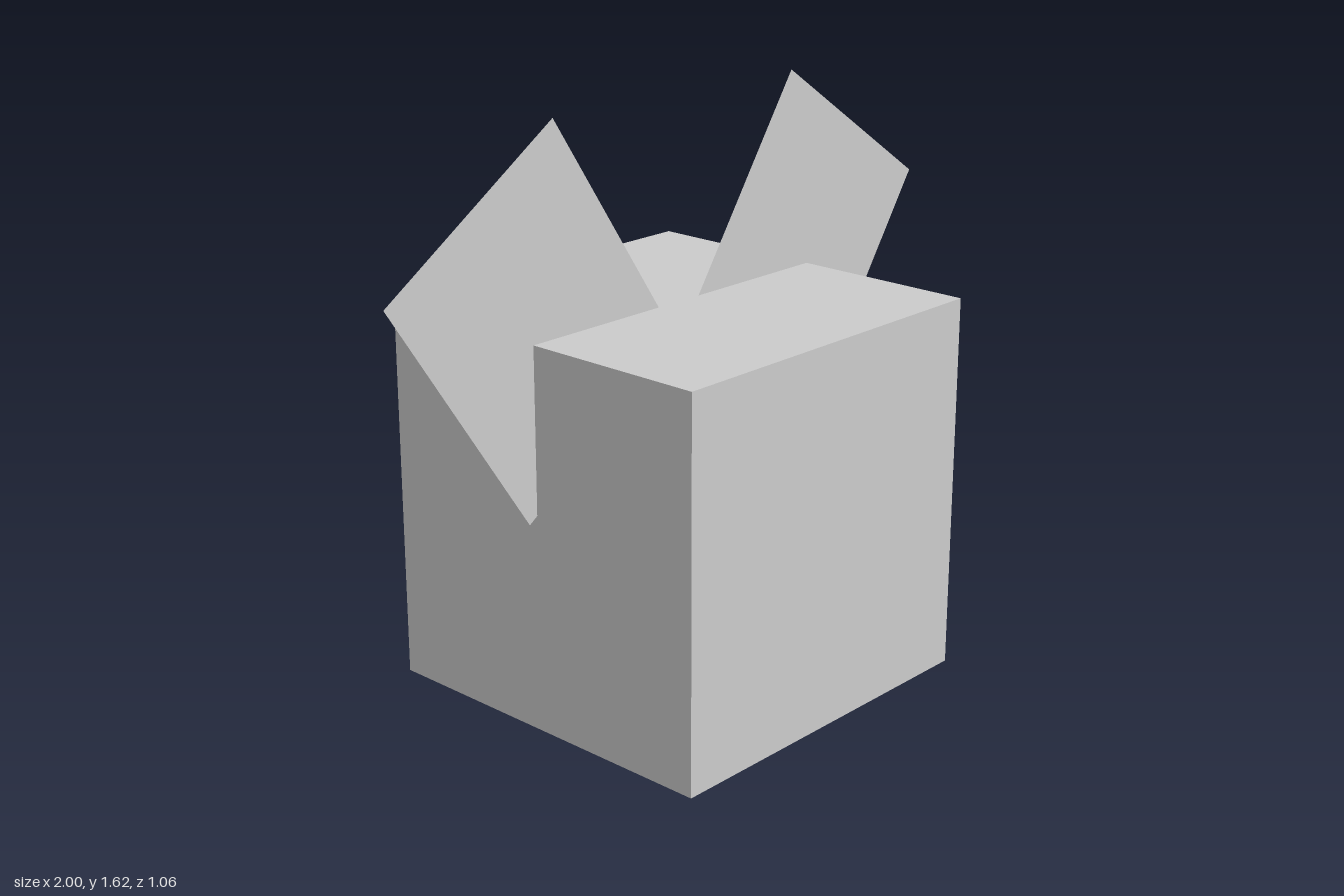
import * as THREE from 'three';

export function createModel() {
  const group = new THREE.Group();
  const solid = new THREE.MeshStandardMaterial({ color: 0xcccccc, flatShading: true });
  const thin = new THREE.MeshStandardMaterial({ color: 0xcccccc, side: THREE.DoubleSide });

  // Cube body
  const size = 1.06;
  const body = new THREE.Mesh(new THREE.BoxGeometry(size, size, size), solid);
  body.name = 'body';
  body.position.y = size / 2;
  group.add(body);

  // Flat ears, mirrored, tilted outwards and sunk into the body
  for (const [name, side] of [['leftEar', 1], ['rightEar', -1]]) {
    const ear = new THREE.Mesh(new THREE.PlaneGeometry(0.66, 0.796), thin);
    ear.name = name;
    ear.position.set(side * 0.503, 1.103, 0);
    ear.rotation.z = -side * 0.589;
    group.add(ear);
  }
  return group;
}
